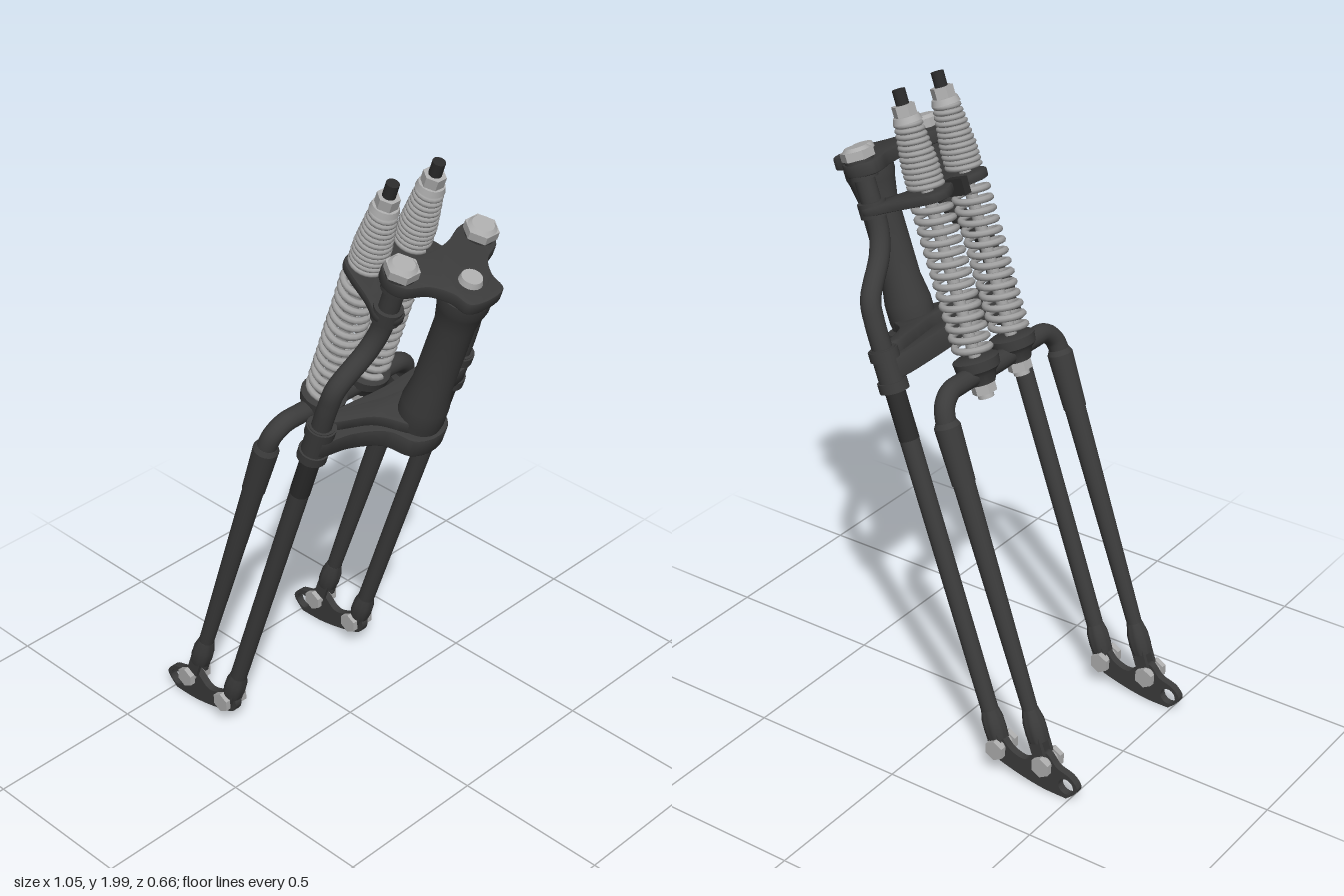
import * as THREE from 'three';
import { toCreasedNormals } from 'three/addons/utils/BufferGeometryUtils.js';

const TILT = 0.3316, LEG_Z = 0.285;
const REAR = -0.262, FRONT = -0.418, NECK = -0.145; // fore-aft positions in the tilted frame

const mat = (name, color) => Object.assign(new THREE.MeshStandardMaterial({ color }), { name });

// coil whose radius follows a function of its progress
class Coil extends THREE.Curve {
  constructor(turns, h0, h1, radius) {
    super();
    Object.assign(this, { turns, h0, h1, radius });
  }
  getPoint(t, out = new THREE.Vector3()) {
    const a = t * this.turns * Math.PI * 2, r = this.radius(t);
    return out.set(Math.cos(a) * r, this.h0 + (this.h1 - this.h0) * t, Math.sin(a) * r);
  }
}

export function createModel() {
  const dark = mat('darkSteel', 0x3b3b3b);
  const black = mat('blackSteel', 0x2b2b2b);
  const silver = mat('silver', 0xadadad);
  const springSteel = mat('springSteel', 0xa0a0a0);

  const root = new THREE.Group();
  root.name = 'springFork';
  const fork = new THREE.Group();
  fork.name = 'tiltedFork';
  fork.rotation.z = -TILT;
  root.add(fork);

  const add = (name, geo, m, parent = fork) => {
    const mesh = new THREE.Mesh(geo, m);
    mesh.name = name;
    parent.add(mesh);
    return mesh;
  };
  // upright cylinder between two heights
  const rod = (name, m, a, z, h0, h1, r0, r1 = r0, sides = 24) => {
    let geo = new THREE.CylinderGeometry(r1, r0, h1 - h0, sides);
    if (sides < 8) geo = toCreasedNormals(geo, 0.5);
    const mesh = add(name, geo, m);
    mesh.position.set(a, (h0 + h1) / 2, z);
    return mesh;
  };
  const lathe = (name, m, a, z, profile) => {
    const geo = new THREE.LatheGeometry(profile.map(p => new THREE.Vector2(...p)), 28);
    const mesh = add(name, toCreasedNormals(geo, 0.6), m);
    mesh.position.set(a, 0, z);
    return mesh;
  };
  const tube = (name, m, pts, r, seg = 48) => {
    const path = new THREE.CatmullRomCurve3(pts.map(p => new THREE.Vector3(...p)), false, 'centripetal');
    return add(name, new THREE.TubeGeometry(path, seg, r, 16), m);
  };
  const smoothShape = (pts, n) =>
    new THREE.Shape(new THREE.SplineCurve([...pts, pts[0]].map(p => new THREE.Vector2(...p))).getPoints(n).slice(0, -1));
  // flat yoke mirrored across the centre plane; half runs front to back
  const plate = (name, m, half, h0, h1) => {
    const pts = [...half, ...half.slice(1, -1).reverse().map(([a, z]) => [a, -z])].reverse();
    const b = 0.006;
    const geo = new THREE.ExtrudeGeometry(smoothShape(pts, 90), {
      depth: h1 - h0 - 2 * b, bevelEnabled: true, bevelSize: b, bevelThickness: b, bevelOffset: -b, bevelSegments: 2,
    });
    geo.rotateX(-Math.PI / 2);
    geo.translate(0, h0 + b, 0);
    return add(name, toCreasedNormals(geo, 0.7), m);
  };

  // steering neck with flared ends
  lathe('steeringNeck', dark, NECK, 0, [
    [0, 1.195], [0.062, 1.195], [0.066, 1.205], [0.066, 1.25], [0.07, 1.27], [0.07, 1.33],
    [0.059, 1.40], [0.058, 1.64], [0.068, 1.70], [0.074, 1.72], [0.074, 1.75], [0, 1.75],
  ]);
  rod('neckBoss', dark, NECK, 0, 1.74, 1.795, 0.055);
  rod('neckBolt', silver, NECK, 0, 1.79, 1.812, 0.036, 0.03);

  // top clamp and lower yoke
  plate('topClamp', dark, [
    [-0.285, 0], [-0.295, 0.07], [-0.318, 0.13], [-0.315, 0.175], [-0.265, 0.2], [-0.215, 0.18],
    [-0.185, 0.115], [-0.135, 0.078], [-0.08, 0.066], [-0.066, 0],
  ], 1.755, 1.795);
  plate('lowerYoke', dark, [
    [-0.295, 0], [-0.302, 0.12], [-0.305, 0.24], [-0.29, 0.31], [-0.25, 0.318], [-0.222, 0.29],
    [-0.205, 0.2], [-0.16, 0.11], [-0.09, 0.07], [-0.068, 0],
  ], 1.185, 1.25);
  plate('yokeRib', dark, [
    [-0.24, 0], [-0.26, 0.12], [-0.28, 0.23], [-0.25, 0.25], [-0.2, 0.13], [-0.12, 0.06], [-0.09, 0],
  ], 1.24, 1.285);

  // spring guide plate tied to the upper legs
  plate('springGuide', dark, [
    [-0.445, 0], [-0.47, 0.05], [-0.48, 0.09], [-0.465, 0.13], [-0.415, 0.152], [-0.33, 0.175],
    [-0.265, 0.2], [-0.225, 0.175], [-0.222, 0.13], [-0.29, 0.08], [-0.32, 0],
  ], 1.64, 1.668);
  const tab = add('guideTab', new THREE.BoxGeometry(0.06, 0.05, 0.028), black);
  tab.position.set(-0.455, 1.65, 0);

  // arched bridge that joins the front legs and carries the springs
  const bridge = [[1.0, 0.285], [1.05, 0.285], [1.09, 0.272], [1.118, 0.235], [1.122, 0.18]];
  tube('springBridge', dark, [
    ...bridge.map(([h, z]) => [FRONT, h, z]), [FRONT, 1.118, 0],
    ...bridge.slice().reverse().map(([h, z]) => [FRONT, h, -z]),
  ], 0.03, 80);

  for (const s of [1, -1]) {
    const z = s * LEG_Z, sz = s * 0.09, tz = s * 0.157;

    // rear leg, its sleeve and clamps
    rod('rearLeg', dark, REAR, z, 0.06, 1.0, 0.026, 0.029);
    rod('rearSleeve', black, REAR, z, 1.0, 1.2, 0.03);
    for (const h of [1.166, 1.262]) rod('legClampRing', dark, REAR, z, h - 0.015, h + 0.015, 0.044);
    rod('legClampBody', dark, REAR, z, 1.15, 1.28, 0.038);
    tube('upperRearTube', dark, [
      [REAR, 1.2, z], [REAR, 1.36, z], [REAR, 1.42, s * 0.275], [REAR, 1.525, s * 0.187],
      [REAR, 1.59, s * 0.16], [REAR, 1.7, tz], [REAR, 1.77, tz],
    ], 0.03);
    rod('guideRing', dark, REAR, tz, 1.632, 1.676, 0.042);
    rod('topClampBoss', dark, REAR, tz, 1.745, 1.803, 0.042);
    rod('topBolt', silver, REAR, tz, 1.803, 1.828, 0.05, 0.05, 6);
    rod('topBoltCrown', silver, REAR, tz, 1.828, 1.838, 0.042, 0.032);

    // front leg with thick upper sleeve
    rod('frontLeg', dark, FRONT, z, 0.09, 0.9, 0.023, 0.033);
    rod('frontSleeve', dark, FRONT, z, 0.86, 1.035, 0.035, 0.039);
    rod('sleeveShoulder', dark, FRONT, z, 1.035, 1.05, 0.039, 0.031);

    // forked ends that straddle the rocker
    for (const [a, h] of [[FRONT, 0], [REAR, 0]]) {
      lathe('legEnd', dark, a, z, [[0, 0.035], [0.03, 0.035], [0.034, 0.06], [0.033, 0.1], [0.024, 0.14], [0, 0.14]]);
      for (const side of [1, -1]) {
        const cheek = add('legEndCheek', new THREE.BoxGeometry(0.042, 0.07, 0.012), dark);
        cheek.position.set(a, h + 0.025, z + side * 0.02);
      }
    }

    // spring cup, coils, cap and threaded rod
    lathe('springCup', dark, FRONT, sz, [
      [0, 1.09], [0.04, 1.09], [0.05, 1.12], [0.066, 1.135], [0.069, 1.165], [0.06, 1.17], [0, 1.17],
    ]);
    rod('cupNut', silver, FRONT, sz, 1.06, 1.09, 0.037, 0.037, 6);
    rod('cupBoltEnd', silver, FRONT, sz, 1.045, 1.06, 0.024);
    rod('springRod', springSteel, FRONT, sz, 1.16, 1.9, 0.018);
    const lower = new Coil(14, 1.178, 1.632, () => 0.051);
    const upper = new Coil(12, 1.677, 1.872, t => 0.048 - 0.014 * Math.max(0, t - 0.35) / 0.65);
    add('lowerSpring', new THREE.TubeGeometry(lower, 14 * 20, 0.0105, 8), springSteel).position.set(FRONT, 0, sz);
    add('upperSpring', new THREE.TubeGeometry(upper, 12 * 20, 0.0078, 8), springSteel).position.set(FRONT, 0, sz);
    rod('springCap', silver, FRONT, sz, 1.872, 1.89, 0.043, 0.038);
    rod('springNut', silver, FRONT, sz, 1.89, 1.922, 0.034, 0.034, 6);
    rod('threadedEnd', black, FRONT, sz, 1.9, 1.966, 0.019);

    // rocker plate with axle hole
    const shape = smoothShape([
      [-0.528, 0.05], [-0.505, 0.086], [-0.455, 0.105], [-0.42, 0.14], [-0.385, 0.122], [-0.34, 0.088],
      [-0.29, 0.1], [-0.25, 0.136], [-0.213, 0.105], [-0.225, 0.06], [-0.3, 0.032], [-0.4, 0.012], [-0.49, 0.009],
    ].reverse(), 80);
    shape.holes.push(new THREE.Path().absarc(-0.488, 0.05, 0.026, 0, Math.PI * 2, true));
    const rocker = new THREE.ExtrudeGeometry(shape, { depth: 0.024, bevelEnabled: false, curveSegments: 20 });
    add('rocker', toCreasedNormals(rocker, 0.6), dark, root).position.z = z - 0.012;

    // pivot bolts through the rocker
    for (const [x, y] of [[-0.415, 0.105], [-0.25, 0.097]]) {
      for (const side of [1, -1]) {
        const hex = toCreasedNormals(new THREE.CylinderGeometry(0.033, 0.033, 0.018, 6), 0.5).rotateX(Math.PI / 2);
        add('pivotBolt', hex, silver, root).position.set(x, y, z + side * 0.034);
      }
      const pin = new THREE.CylinderGeometry(0.022, 0.022, 0.084, 20).rotateX(Math.PI / 2);
      add('pivotPin', pin, silver, root).position.set(x, y, z);
    }
  }
  return root;
}
